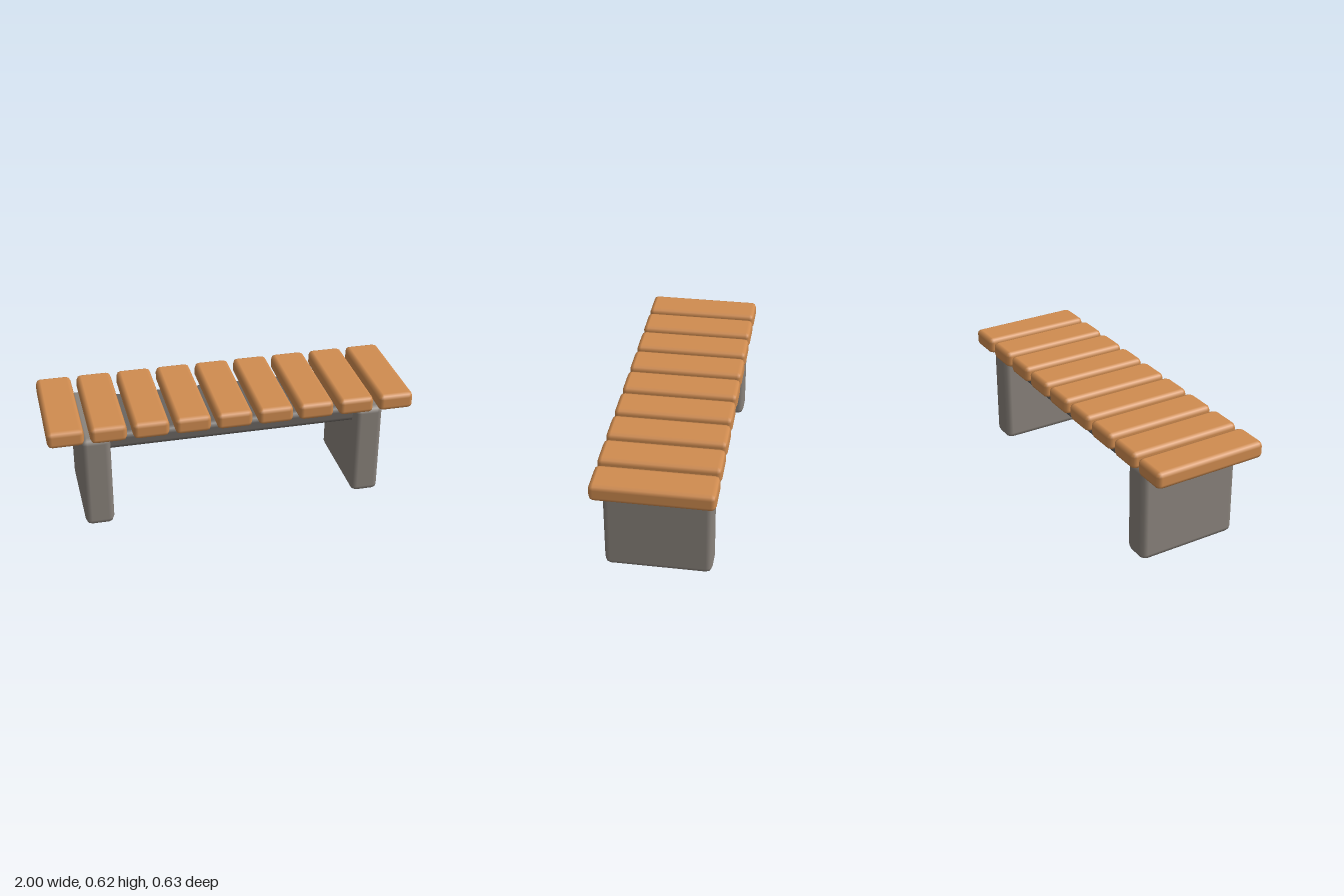
import * as THREE from 'three';
import { RoundedBoxGeometry } from 'three/addons/geometries/RoundedBoxGeometry.js';

const wood = new THREE.MeshStandardMaterial({ color: 0xd08c50 });
const stone = new THREE.MeshStandardMaterial({ color: 0x8a837c });
const darkStone = new THREE.MeshStandardMaterial({ color: 0x6a6561 });

// Box with softly bevelled edges, placed by its centre
function block(name, material, [w, h, d], [x, y, z], radius) {
  const mesh = new THREE.Mesh(new RoundedBoxGeometry(w, h, d, 1, radius), material);
  mesh.name = name;
  mesh.position.set(x, y, z);
  return mesh;
}

export function createModel() {
  const bench = new THREE.Group();
  bench.name = 'bench';

  // Seat: nine evenly spaced cross slats
  const seat = new THREE.Group();
  seat.name = 'seat';
  const count = 9, width = 0.194, pitch = (2 - width) / (count - 1);
  for (let i = 0; i < count; i++) {
    const x = -1 + width / 2 + i * pitch;
    seat.add(block('slat', wood, [width, 0.094, 0.634], [x, 0.577, 0], 0.026));
  }
  bench.add(seat);

  // Slab legs, set slightly towards the left
  bench.add(block('rightLeg', stone, [0.157, 0.54, 0.568], [-0.745, 0.27, 0], 0.033));
  bench.add(block('leftLeg', stone, [0.157, 0.54, 0.568], [0.765, 0.27, 0], 0.033));

  // Broad beam between the legs, under the slats
  bench.add(block('beam', darkStone, [1.42, 0.095, 0.456], [0.01, 0.4825, 0], 0.03));

  return bench;
}
